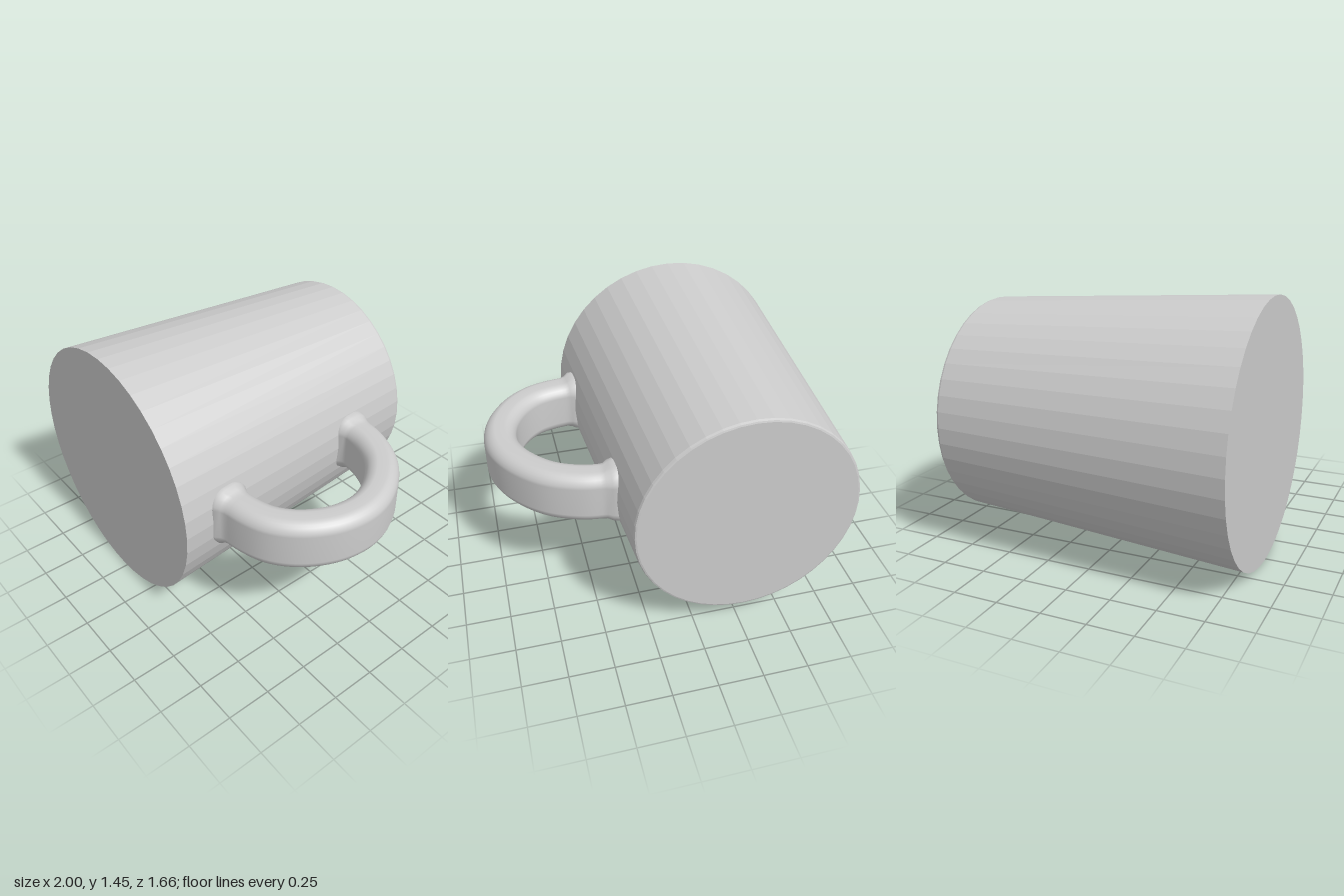
import * as THREE from 'three';

const AXIS_X = -0.275, AXIS_Y = 0.725;

// Tapered body, lying along z with a tiny bevel on the narrow end
function createBody(material) {
  const profile = [[0, -0.83], [0.606, -0.83], [0.615, -0.827], [0.62, -0.815], [0.725, 0.83], [0, 0.83]]
    .map(([r, h]) => new THREE.Vector2(r, h));
  const geometry = new THREE.LatheGeometry(profile, 44).toNonIndexed();
  geometry.rotateX(Math.PI / 2);
  geometry.computeVertexNormals();
  const body = new THREE.Mesh(geometry, material);
  body.name = 'mugBody';
  body.position.set(AXIS_X, AXIS_Y, 0);
  return body;
}

// Curved handle: a rounded strap section swept along a path in the xz plane
function createHandle(material) {
  const path = new THREE.CatmullRomCurve3([
    [0.3, -0.405], [0.42, -0.403], [0.53, -0.385], [0.69, -0.31], [0.82, -0.175], [0.89, -0.04],
    [0.91, 0.08], [0.885, 0.23], [0.8, 0.38], [0.69, 0.475], [0.58, 0.515], [0.44, 0.535], [0.35, 0.545],
  ].map(([x, z]) => new THREE.Vector3(x, AXIS_Y, z)));
  const steps = 64, sides = 28, halfThick = 0.094, halfWide = 0.154, corner = 0.075;
  const positions = [], indices = [];

  for (let i = 0; i <= steps; i++) {
    const p = path.getPointAt(i / steps);
    const t = path.getTangentAt(i / steps);
    // Flare where the handle meets the wall
    const wall = AXIS_X + 0.673 + 0.063 * p.z;
    const gap = THREE.MathUtils.clamp(1 - (p.x - wall) / 0.05, 0, 1);
    const flare = 0.025 * gap * gap;
    for (let j = 0; j < sides; j++) {
      const a = ((j + 0.5) / sides) * Math.PI * 2;
      const c = Math.cos(a), s = Math.sin(a);
      const u = Math.sign(c) * (halfThick - corner) + c * (corner + flare);
      const v = Math.sign(s) * (halfWide - corner) + s * (corner + flare);
      positions.push(p.x + t.z * u, p.y + v, p.z - t.x * u);
    }
  }
  for (let i = 0; i < steps; i++) {
    for (let j = 0; j < sides; j++) {
      const k = (j + 1) % sides;
      const a = i * sides + j, b = i * sides + k;
      const c = a + sides, d = b + sides;
      indices.push(a, b, c, b, d, c);
    }
  }
  const geometry = new THREE.BufferGeometry();
  geometry.setAttribute('position', new THREE.Float32BufferAttribute(positions, 3));
  geometry.setIndex(indices);
  geometry.computeVertexNormals();
  const handle = new THREE.Mesh(geometry, material);
  handle.name = 'handle';
  return handle;
}

export function createModel() {
  const grey = new THREE.MeshStandardMaterial({ color: 0xcccccc });
  grey.name = 'light grey';
  const group = new THREE.Group();
  group.name = 'mug';
  group.add(createBody(grey), createHandle(grey));
  return group;
}
